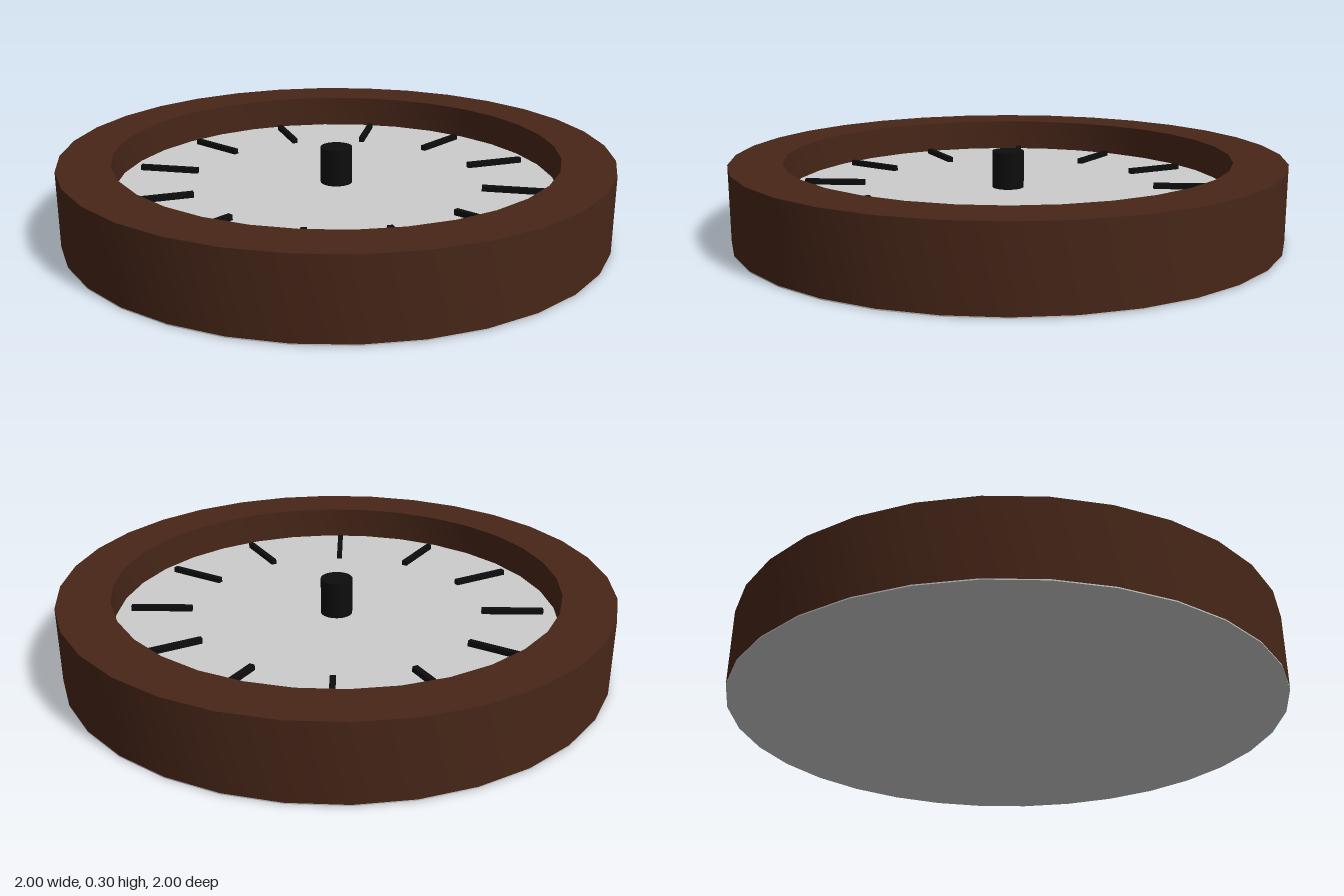
import * as THREE from 'three';
import { toCreasedNormals } from 'three/addons/utils/BufferGeometryUtils.js';

const SIDES = 32;
const grey = new THREE.MeshStandardMaterial({ color: 0xcccccc });
const wood = new THREE.MeshStandardMaterial({ color: 0x472618 });
const black = new THREE.MeshStandardMaterial({ color: 0x0d0d0d });

function addPart(parent, name, geometry, material, y = 0) {
  const mesh = new THREE.Mesh(geometry, material);
  mesh.name = name;
  mesh.position.y = y;
  parent.add(mesh);
  return mesh;
}

export function createModel() {
  const clock = new THREE.Group();
  clock.name = 'wallClock';
  const top = 0.28, dialY = 0.16, back = 0.004;

  // Wooden ring: outer wall, flat top, inner wall down to the dial
  const profile = [[1, back], [1, top], [0.81, top], [0.81, dialY - 0.01]]
    .map(([r, y]) => new THREE.Vector2(r, y));
  const ring = toCreasedNormals(new THREE.LatheGeometry(profile, SIDES), Math.PI / 6);
  addPart(clock, 'rim', ring, wood);

  // Thin back plate closing the underside
  addPart(clock, 'backPlate', new THREE.CylinderGeometry(1, 1, back, SIDES), grey, back / 2);

  // Recessed dial
  const dial = new THREE.CircleGeometry(0.81, SIDES).rotateX(-Math.PI / 2);
  addPart(clock, 'dial', dial, grey, dialY);

  // Twelve hour marks
  const marks = new THREE.Group();
  marks.name = 'hourMarks';
  const markGeometry = new THREE.BoxGeometry(0.225, 0.02, 0.02).translate(0.647, 0, 0);
  for (let i = 0; i < 12; i++) {
    addPart(marks, `hourMark${i + 1}`, markGeometry, black, dialY + 0.01)
      .rotation.y = (i * Math.PI) / 6;
  }
  clock.add(marks);

  // Centre pin, rising just above the rim
  const pinHeight = 0.295 - dialY;
  addPart(clock, 'centrePin', new THREE.CylinderGeometry(0.058, 0.058, pinHeight, SIDES),
    black, dialY + pinHeight / 2);

  return clock;
}
